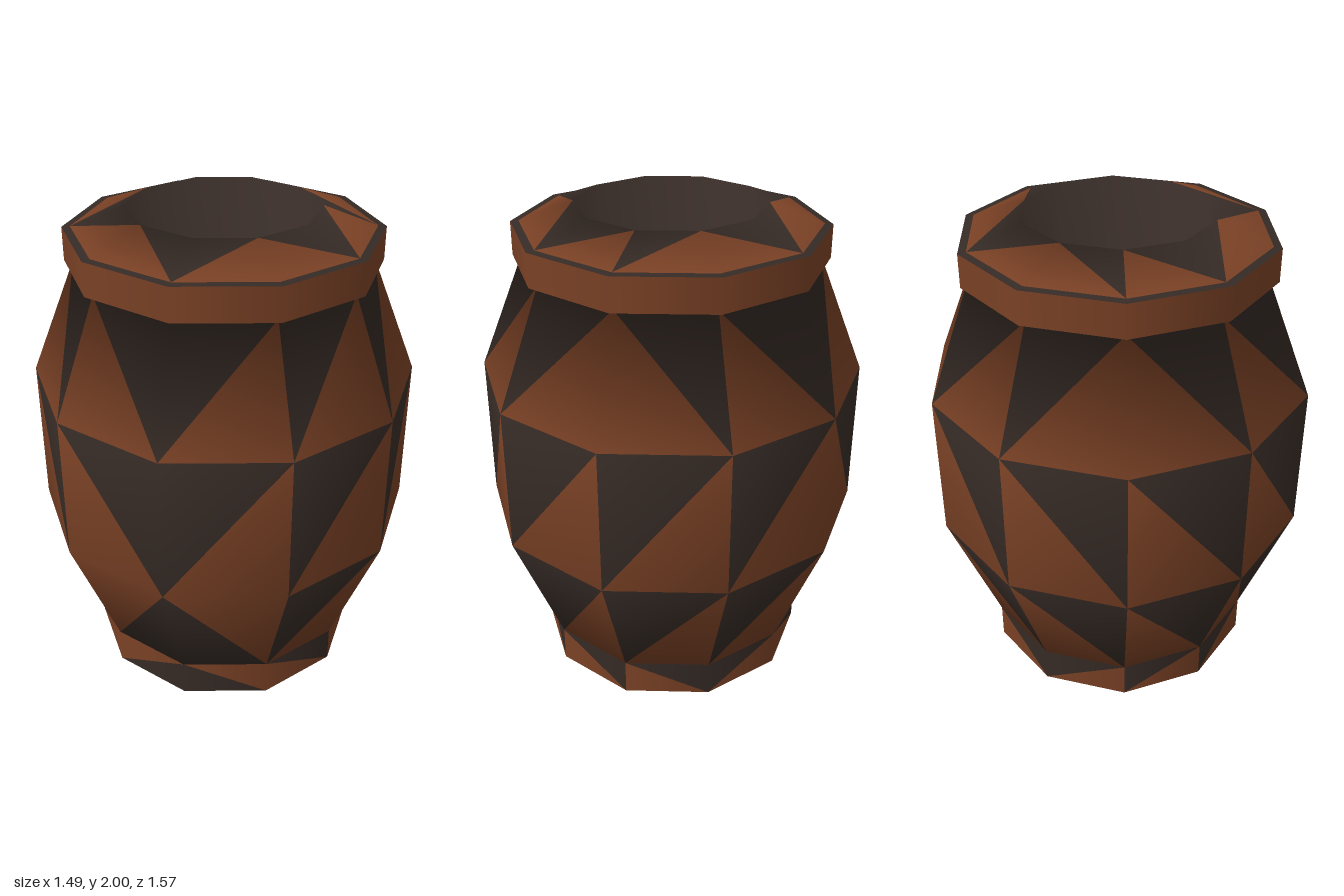
import * as THREE from 'three';

const SIDES = 10;
const CLAY = 0x7a4125, DARK = 0x362b26;

// Ten-sided surface through rings [radius, y], ordered so it faces outward.
// Each pattern string gives one letter per column on the +x half (mirrored on -x):
//   L / H: dark triangle on the upper ring, its tip at the low / high corner below
//   l: dark triangle on the lower ring, its tip at the low corner above
//   c / d: whole panel clay / dark
function patternedShell(name, rings, patterns) {
  // Smooth normal of each ring: mean of the profile segments meeting there
  const segments = patterns.map((_, k) => new THREE.Vector2(
    rings[k + 1][1] - rings[k][1], rings[k][0] - rings[k + 1][0]).normalize());
  const positions = [], normals = [];
  rings.forEach(([r, y], k) => {
    const n = new THREE.Vector2();
    if (k > 0) n.add(segments[k - 1]);
    if (k < segments.length) n.add(segments[k]);
    n.normalize();
    for (let i = 0; i < SIDES; i++) {
      const a = (i / SIDES) * Math.PI * 2;
      positions.push(r * Math.sin(a), y, r * Math.cos(a));
      normals.push(n.x * Math.sin(a), n.y, n.x * Math.cos(a));
    }
  });

  const clay = [], dark = [];
  patterns.forEach((pattern, k) => {
    for (let i = 0; i < SIDES; i++) {
      const mirrored = i >= SIDES / 2;
      const code = pattern[mirrored ? SIDES - 1 - i : i];
      const j = (i + 1) % SIDES;
      const b0 = k * SIDES + i, b1 = k * SIDES + j;
      const t0 = b0 + SIDES, t1 = b1 + SIDES;
      const tipAtStart = (code.toLowerCase() === 'l') !== mirrored;
      const tipDown = code === 'L' || code === 'H';
      const [upper, lower] = tipDown === tipAtStart
        ? [[b0, t1, t0], [b0, b1, t1]]
        : [[b1, t1, t0], [b0, b1, t0]];
      (tipDown || code === 'd' ? dark : clay).push(...upper);
      (code === 'l' || code === 'd' ? dark : clay).push(...lower);
    }
  });

  const group = new THREE.Group();
  group.name = name;
  for (const [label, index, color] of [['Clay', clay, CLAY], ['Dark', dark, DARK]]) {
    if (!index.length) continue;
    const geometry = new THREE.BufferGeometry();
    geometry.setAttribute('position', new THREE.Float32BufferAttribute(positions, 3));
    geometry.setAttribute('normal', new THREE.Float32BufferAttribute(normals, 3));
    geometry.setIndex(index);
    const mesh = new THREE.Mesh(geometry, new THREE.MeshStandardMaterial({ color }));
    mesh.name = name + label;
    group.add(mesh);
  }
  return group;
}

export function createModel() {
  const pot = new THREE.Group();
  pot.name = 'pot';

  // Thin foot ring, outside and inside
  pot.add(patternedShell('foot', [[0.575, 0], [0.575, 0.155]], ['lHHHL']));
  pot.add(patternedShell('footInside', [[0.575, 0.155], [0.575, 0]], ['ccccc']));

  // Closed bottom within the foot, belly, shoulder and the overhang below the rim
  pot.add(patternedShell('body',
    [[0.001, 0.155], [0.575, 0.155], [0.785, 0.695], [0.785, 1.305],
      [0.595, 1.78], [0.63, 1.78]],
    ['ccccc', 'lLLLL', 'LLLLL', 'LLLHH', 'ccccc']));

  // Plain rim wall
  pot.add(patternedShell('rim', [[0.63, 1.78], [0.63, 1.915]], ['ccccc']));

  // Thin dark ledge, sloping lip with outward triangles, hollow mouth
  pot.add(patternedShell('mouth',
    [[0.63, 1.915], [0.597, 1.918], [0.38, 2], [0.38, 1.5], [0.001, 1.5]],
    ['ddddd', 'LHLLH', 'ddddd', 'ddddd']));

  return pot;
}
